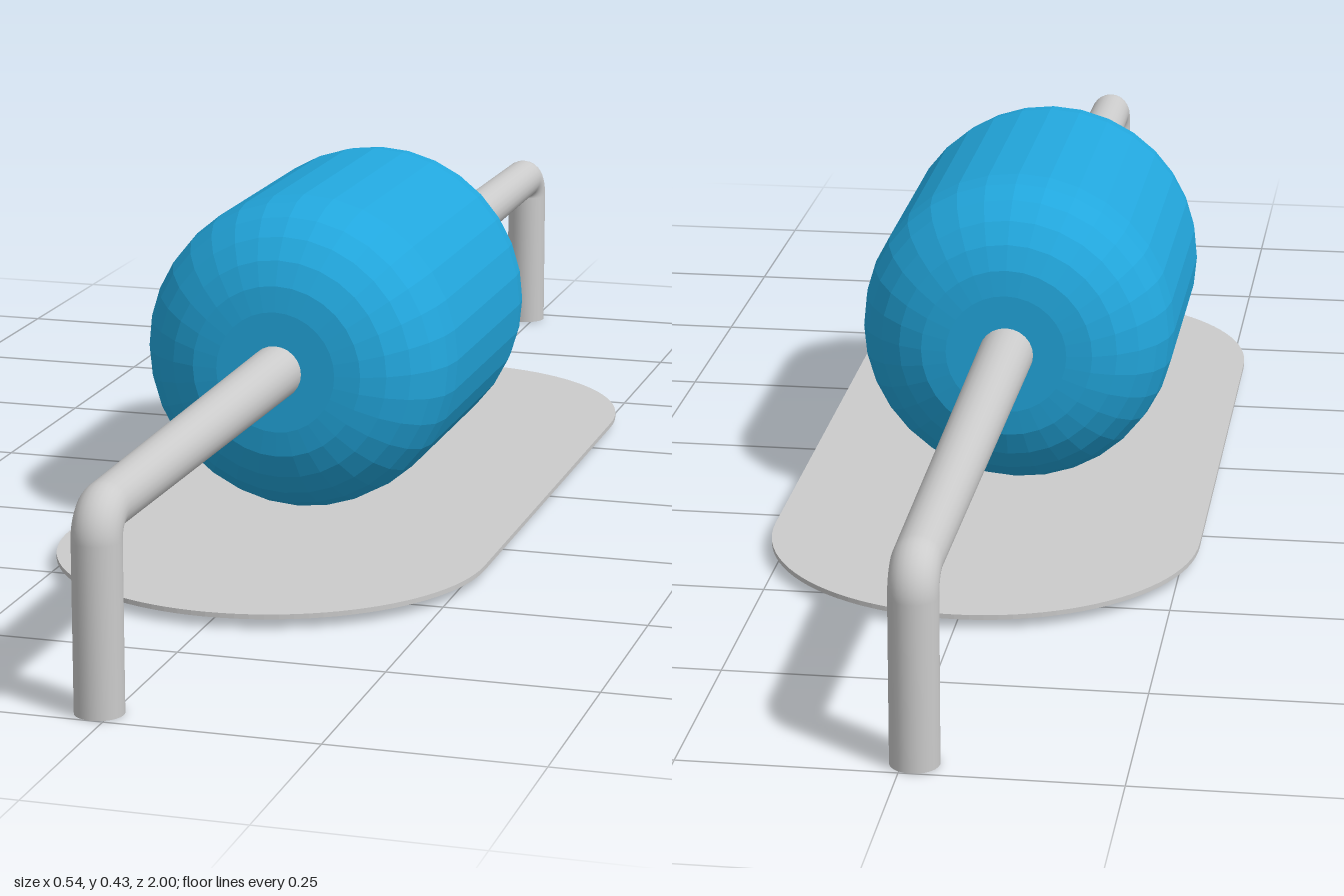
import * as THREE from 'three';

const GREY = 0xcccccc, BLUE = 0x22a7dd;
const AXIS_X = -0.014, AXIS_Y = 0.229;

function part(name, geometry, color, flatShading = false) {
  const mesh = new THREE.Mesh(geometry, new THREE.MeshStandardMaterial({ color, flatShading }));
  mesh.name = name;
  return mesh;
}

// Barrel with rounded shoulders, turned about the z axis
function bodyGeometry() {
  const radius = 0.202, half = 0.285, corner = 0.125, steps = 6;
  const profile = [new THREE.Vector2(0, -half)];
  for (const end of [-1, 1]) {
    for (let i = 0; i <= steps; i++) {
      const a = ((end < 0 ? i : steps - i) / steps) * Math.PI / 2;
      profile.push(new THREE.Vector2(
        radius - corner + corner * Math.sin(a),
        end * (half - corner + corner * Math.cos(a))));
    }
  }
  profile.push(new THREE.Vector2(0, half));
  return new THREE.LatheGeometry(profile, 32).rotateX(Math.PI / 2);
}

// One bent wire: tapered run out along z, elbow, and leg down to the ground
function wire(name) {
  const r = 0.0285, bend = 0.031, legZ = 1 - r, runEnd = legZ - bend;
  const group = new THREE.Group();
  group.name = name;

  const run = part('wireRun', new THREE.CylinderGeometry(r, 0.036, runEnd - 0.1, 24, 1, true).rotateX(Math.PI / 2), GREY);
  run.position.set(0, AXIS_Y, (runEnd + 0.1) / 2);

  const elbow = part('wireElbow', new THREE.TorusGeometry(bend, r, 24, 10, Math.PI / 2).rotateY(-Math.PI / 2), GREY);
  elbow.position.set(0, AXIS_Y - bend, runEnd);

  const legHeight = AXIS_Y - bend;
  const leg = part('wireLeg', new THREE.CylinderGeometry(r, r, legHeight, 24), GREY);
  leg.position.set(0, legHeight / 2, legZ);

  group.add(run, elbow, leg);
  return group;
}

// Thin plate with semicircular ends
function plateGeometry() {
  const r = 0.27, straight = 0.35;
  const shape = new THREE.Shape();
  shape.absarc(0, straight, r, 0, Math.PI);
  shape.absarc(0, -straight, r, Math.PI, Math.PI * 2);
  shape.closePath();
  return new THREE.ExtrudeGeometry(shape, { depth: 0.006, bevelEnabled: false, curveSegments: 24 }).rotateX(-Math.PI / 2);
}

export function createModel() {
  const model = new THREE.Group();
  model.name = 'axialComponent';

  const body = part('body', bodyGeometry(), BLUE, true);
  body.position.set(AXIS_X, AXIS_Y, 0.045);

  const frontWire = wire('frontWire');
  const backWire = wire('backWire');
  backWire.rotation.y = Math.PI;
  frontWire.position.x = backWire.position.x = AXIS_X;

  const plate = part('basePlate', plateGeometry(), GREY);
  plate.position.set(0, 0.012, 0.03);

  model.add(body, frontWire, backWire, plate);
  return model;
}
